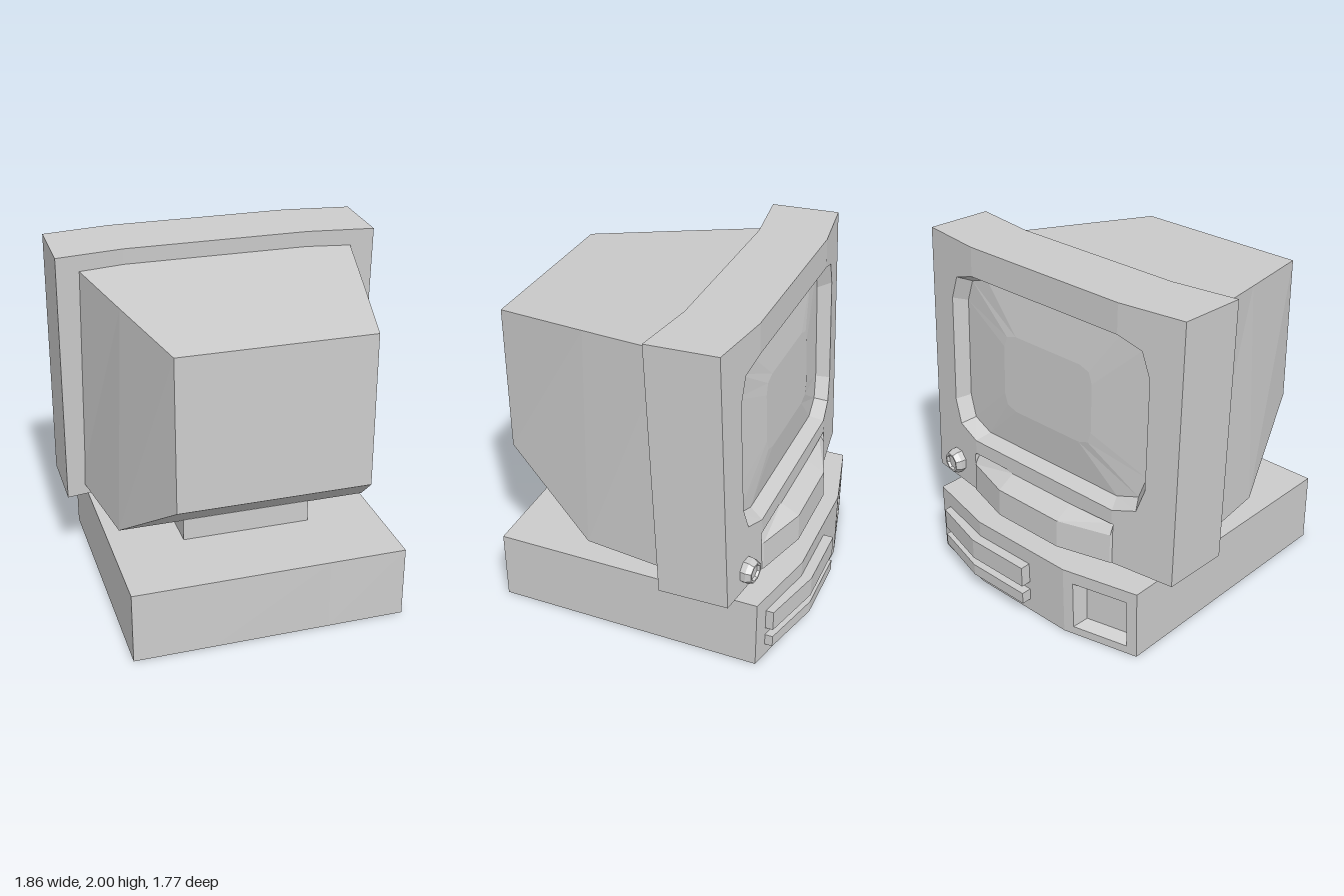
import * as THREE from 'three';

const grey = new THREE.MeshStandardMaterial({ color: 0xcccccc, flatShading: true });

// Joins equal-length cross-sections with quads and caps both ends on request.
// closed(i) tells whether the section loop is joined up between section i and i + 1.
function skin(sections, { closed = () => true, capStart = true, capEnd = true } = {}) {
  const pos = [];
  const tri = (a, b, c) => pos.push(...a, ...b, ...c);
  const fan = (p) => { for (let i = 1; i < p.length - 1; i++) tri(p[0], p[i], p[i + 1]); };
  for (let i = 0; i < sections.length - 1; i++) {
    const a = sections[i], b = sections[i + 1], n = a.length;
    for (let j = 0; j < (closed(i) ? n : n - 1); j++) {
      const k = (j + 1) % n;
      tri(a[j], b[j], b[k]);
      tri(a[j], b[k], a[k]);
    }
  }
  if (capStart) fan(sections[0]);
  if (capEnd) fan([...sections[sections.length - 1]].reverse());
  const g = new THREE.BufferGeometry();
  g.setAttribute('position', new THREE.Float32BufferAttribute(pos, 3));
  g.computeVertexNormals();
  return g;
}

// Piecewise linear lookup in [x, value] pairs
function lerpTable(table, x) {
  if (x <= table[0][0]) return table[0][1];
  for (let i = 1; i < table.length; i++) {
    const [x0, v0] = table[i - 1], [x1, v1] = table[i];
    if (x <= x1) return v0 + (v1 - v0) * (x - x0) / (x1 - x0);
  }
  return table[table.length - 1][1];
}

// Bowed, slightly tilted planes of the bezel, and the bowed front of the base
const bow = (x) => lerpTable([[0.54, 0], [0.93, 0.055]], Math.abs(x));
const faceZ = (x, y) => -0.60 - 0.063 * (2 - y) / 1.52 + bow(x);
const rearZ = (x, y) => -0.195 - 0.065 * (1.985 - y) / 1.515 + bow(x);
const baseZ = (x) => lerpTable([[0.34, -0.83], [0.79, -0.725]], Math.abs(x));

// Right half of the screen opening: x, lower y, upper y
const opening = [[0.54, 0.81, 1.83], [0.69, 0.86, 1.78], [0.74, 1.0, 1.64]];
const openLow = (x) => lerpTable(opening.map((p) => [p[0], p[1]]), Math.abs(x));
const openTop = (x) => lerpTable(opening.map((p) => [p[0], p[2]]), Math.abs(x));

function bezelGeometry() {
  const half = [0.23, 0.54, 0.55, 0.69, 0.74, 0.93];
  const xs = [...half.map((x) => -x).reverse(), ...half];
  const sections = xs.map((x) => {
    const ax = Math.abs(x);
    const chin = lerpTable([[0.23, 0.105], [0.54, 0.008], [0.55, 0]], ax);
    const notch = ax === 0.54 ? 0.03 : 0;
    const low = 0.48 + chin * 0.1;
    return [
      [x, openLow(x), faceZ(x, openLow(x))],
      [x, 0.725, faceZ(x, 0.725)],
      [x, 0.715, faceZ(x, 0.715) + notch],
      [x, 0.655, faceZ(x, 0.655) - chin],
      [x, low, faceZ(x, low) - chin],
      [x, 0.47, rearZ(x, 0.47)],
      [x, 1.985, rearZ(x, 1.985)],
      [x, 2, faceZ(x, 2)],
      [x, openTop(x), faceZ(x, openTop(x))],
    ];
  });
  return skin(sections, { closed: (i) => i === 0 || i === xs.length - 2 });
}

// Bevelled wall of the opening and the gently bulging glass
function screenGeometries() {
  const up = opening.map(([x, , y]) => [x, y]);
  const down = opening.map(([x, y]) => [x, y]);
  const flip = (list) => list.map(([x, y]) => [-x, y]);
  const outline = [...[...up].reverse(), ...flip(up), ...flip([...down].reverse()), ...down];
  const ring = (s, depth) => outline.map(([x, y]) => {
    const px = x * s, py = 1.32 + (y - 1.32) * s;
    return [px, py, faceZ(px, py) + depth];
  });
  const inner = ring(0.93, 0.08);
  return [
    skin([ring(1, 0), inner], { capStart: false, capEnd: false }),
    skin([inner, ring(0.45, 0.045)], { capStart: false }),
  ];
}

// Base with an opening left for the recess
const RECESS = { x0: -0.73, x1: -0.40, y0: 0.05, y1: 0.345 };
function baseGeometry() {
  const xs = [-0.79, RECESS.x0, RECESS.x1, -0.34, 0.34, 0.79];
  const sections = xs.map((x) => [
    [x, RECESS.y0, baseZ(x)], [x, 0, baseZ(x)], [x, 0, 0.85],
    [x, 0.42, 0.85], [x, 0.42, baseZ(x)], [x, RECESS.y1, baseZ(x)],
  ]);
  return skin(sections, { closed: (i) => i !== 1 });
}

function recessGeometry() {
  const ring = (inset, depth) => {
    const x0 = RECESS.x0 + inset, x1 = RECESS.x1 - inset;
    const y0 = RECESS.y0 + inset, y1 = RECESS.y1 - inset;
    return [[x1, y1], [x0, y1], [x0, y0], [x1, y0]].map(([x, y]) => [x, y, baseZ(x) + depth]);
  };
  return skin([ring(0, 0), ring(0.04, 0.06)], { capStart: false });
}

// Raised drive bar that follows the bowed front
function driveGeometry(y0, y1) {
  const sections = [[-0.07, 0.06], [0.34, 0.06], [0.70, 0.045]].map(([x, out]) => {
    const front = baseZ(x) - out, back = baseZ(x) + 0.01;
    return [[x, y1, front], [x, y0, front], [x, y0, back], [x, y1, back]];
  });
  return skin(sections);
}

// Tapered tube housing behind the bezel
function housingGeometry() {
  const loop = (xt, yt, zt, xb, yb, zb) =>
    [[xt, yt, zt], [-xt, yt, zt], [-xb, yb, zb], [xb, yb, zb]];
  return skin([
    loop(0.54, 1.775, 0.885, 0.54, 0.90, 0.885),
    loop(0.68, 1.837, 0.32, 0.735, 0.51, 0.32),
    loop(0.808, 1.895, -0.21, 0.83, 0.538, -0.27),
  ]);
}

export function createModel() {
  const model = new THREE.Group();
  const add = (name, geometry, x = 0, y = 0, z = 0) => {
    const mesh = new THREE.Mesh(geometry, grey);
    mesh.name = name;
    mesh.position.set(x, y, z);
    model.add(mesh);
    return mesh;
  };

  // Computer base
  add('base', baseGeometry());
  add('baseRecess', recessGeometry());
  add('upperDrive', driveGeometry(0.20, 0.325));
  add('lowerDrive', driveGeometry(0.08, 0.15));

  // Monitor
  add('neck', new THREE.BoxGeometry(0.75, 0.13, 0.74), 0, 0.485, 0.01);
  add('rearHousing', housingGeometry());
  add('bezel', bezelGeometry());
  const [wall, glass] = screenGeometries();
  add('screenSurround', wall);
  add('screen', glass);

  // Eight-sided knob with a dished face
  const profile = [[0.075, -0.01], [0.075, 0.03], [0.06, 0.06], [0.048, 0.06], [0.042, 0.045], [0, 0.045]];
  const knob = new THREE.LatheGeometry(profile.map(([r, h]) => new THREE.Vector2(r, h)), 8, Math.PI / 8);
  knob.rotateX(-Math.PI / 2);
  add('knob', knob, 0.725, 0.60, faceZ(0.725, 0.60)).rotation.y = -0.14;

  return model;
}
